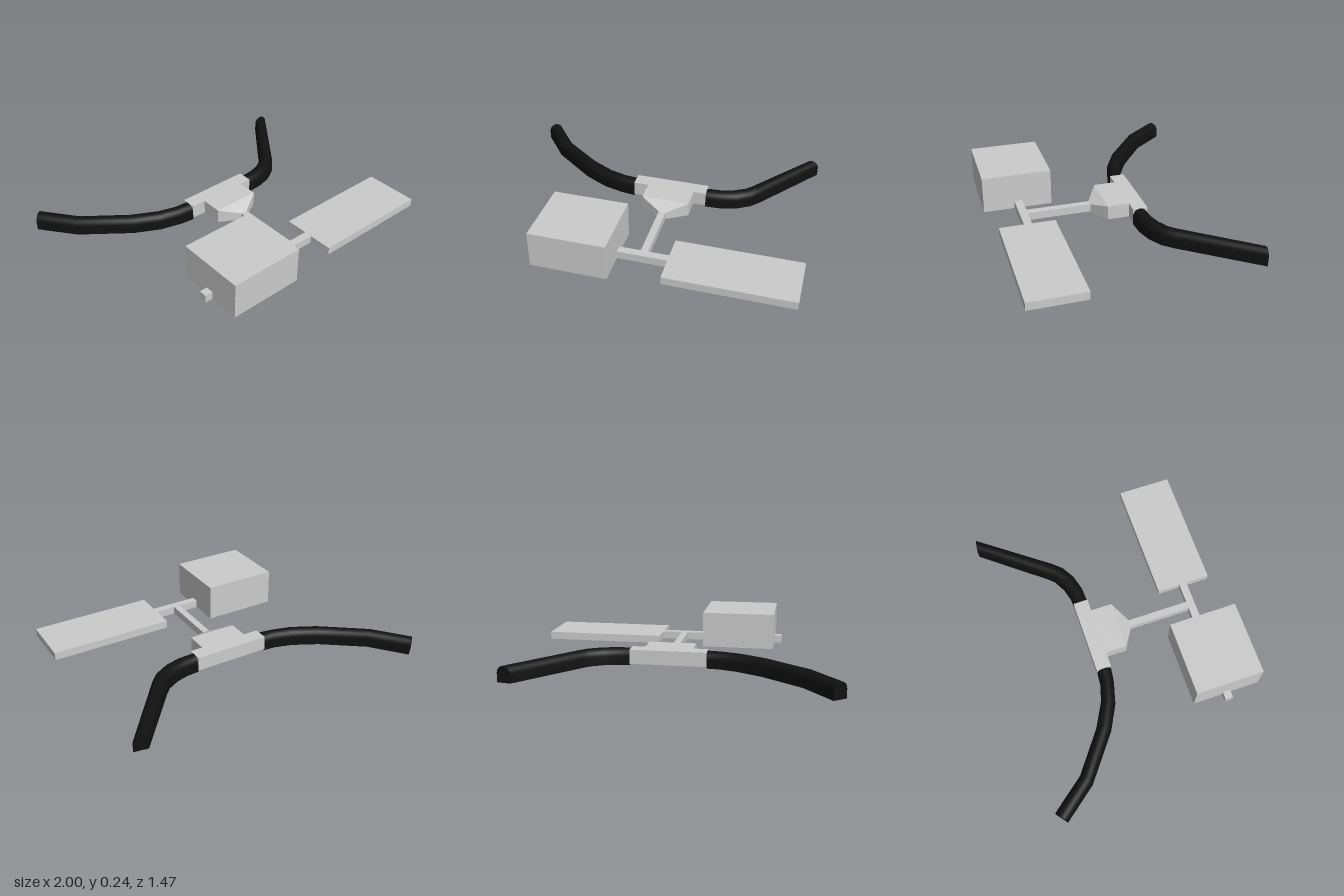
import * as THREE from 'three';
import { toCreasedNormals } from 'three/addons/utils/BufferGeometryUtils.js';

const grey = new THREE.MeshStandardMaterial({ color: 0xcccccc });
const black = new THREE.MeshStandardMaterial({ color: 0x111111 });

// Box given by its limits along each axis
function block(name, [x0, x1], [y0, y1], [z0, z1]) {
  const mesh = new THREE.Mesh(new THREE.BoxGeometry(x1 - x0, y1 - y0, z1 - z0), grey);
  mesh.position.set((x0 + x1) / 2, (y0 + y1) / 2, (z0 + z1) / 2);
  mesh.name = name;
  return mesh;
}

// Half-round bar section: t runs from the front edge (0) to the back edge (1)
const section = [[0, 0]];
for (let i = 0; i <= 12; i++) {
  const a = (i / 12) * Math.PI;
  section.push([0.5 - 0.5 * Math.cos(a), 0.055 + 0.046 * Math.sin(a)]);
}
section.push([1, 0]);

// Lofts the section along stations [frontX, frontZ, backX, backZ], ordered towards +x
function arm(name, stations) {
  const n = section.length;
  const pos = [];
  const index = [];
  for (const [fx, fz, bx, bz] of stations) {
    for (const [t, y] of section) pos.push(fx + (bx - fx) * t, y, fz + (bz - fz) * t);
  }
  for (let i = 0; i < stations.length - 1; i++) {
    for (let j = 0; j < n; j++) {
      const k = (j + 1) % n;
      const a = i * n + j, b = a + n, c = i * n + k, d = c + n;
      index.push(a, b, d, a, d, c);
    }
  }
  // End caps
  const last = (stations.length - 1) * n;
  for (let j = 1; j < n - 1; j++) {
    index.push(0, j, j + 1, last, last + j + 1, last + j);
  }
  const geo = new THREE.BufferGeometry();
  geo.setAttribute('position', new THREE.Float32BufferAttribute(pos, 3));
  geo.setIndex(index);
  const mesh = new THREE.Mesh(toCreasedNormals(geo, 0.6), black);
  mesh.name = name;
  return mesh;
}

// Wedge that narrows and slopes down from the neck plate to the stem
function taper() {
  const geo = new THREE.BoxGeometry(1, 1, 1).toNonIndexed();
  const p = geo.attributes.position;
  for (let i = 0; i < p.count; i++) {
    const front = p.getZ(i) > 0, left = p.getX(i) > 0, top = p.getY(i) > 0;
    p.setXYZ(
      i,
      front ? (left ? 0.09 : 0.045) : (left ? 0.22 : -0.085),
      top ? (front ? 0.06 : 0.1) : 0.01,
      front ? 0.085 : 0.008
    );
  }
  geo.computeVertexNormals();
  const mesh = new THREE.Mesh(geo, grey);
  mesh.name = 'neckTaper';
  return mesh;
}

export function createModel() {
  const model = new THREE.Group();
  model.name = 'frame';

  // Curved black arms
  model.add(
    arm('rightArm', [
      [-1.0, -0.68, -0.93, -0.735],
      [-0.835, -0.47, -0.765, -0.525],
      [-0.555, -0.255, -0.52, -0.34],
      [-0.4, -0.175, -0.37, -0.26],
      [-0.27, -0.14, -0.26, -0.226],
      [-0.18, -0.128, -0.18, -0.219]
    ]),
    arm('leftArm', [
      [0.3, -0.128, 0.3, -0.219],
      [0.4, -0.133, 0.375, -0.223],
      [0.5, -0.16, 0.455, -0.245],
      [0.585, -0.21, 0.53, -0.285],
      [0.635, -0.265, 0.565, -0.322],
      [0.965, -0.7, 0.88, -0.715]
    ])
  );

  // Central bracket and neck
  model.add(
    block('bracket', [-0.18, 0.3], [0.01, 0.1], [-0.222, -0.128]),
    block('neckPlate', [-0.085, 0.22], [0.01, 0.1], [-0.128, 0.008]),
    taper()
  );

  // Stem and crossbar
  model.add(
    block('stem', [0.045, 0.09], [0.01, 0.06], [0.085, 0.485]),
    block('crossbar', [-0.61, 0.22], [0.01, 0.06], [0.485, 0.535])
  );

  // Tall box and flat plate on the crossbar
  model.add(
    block('box', [-0.56, -0.088], [0.01, 0.242], [0.295, 0.73]),
    block('plate', [0.22, 1.0], [0.01, 0.06], [0.34, 0.687])
  );

  return model;
}
